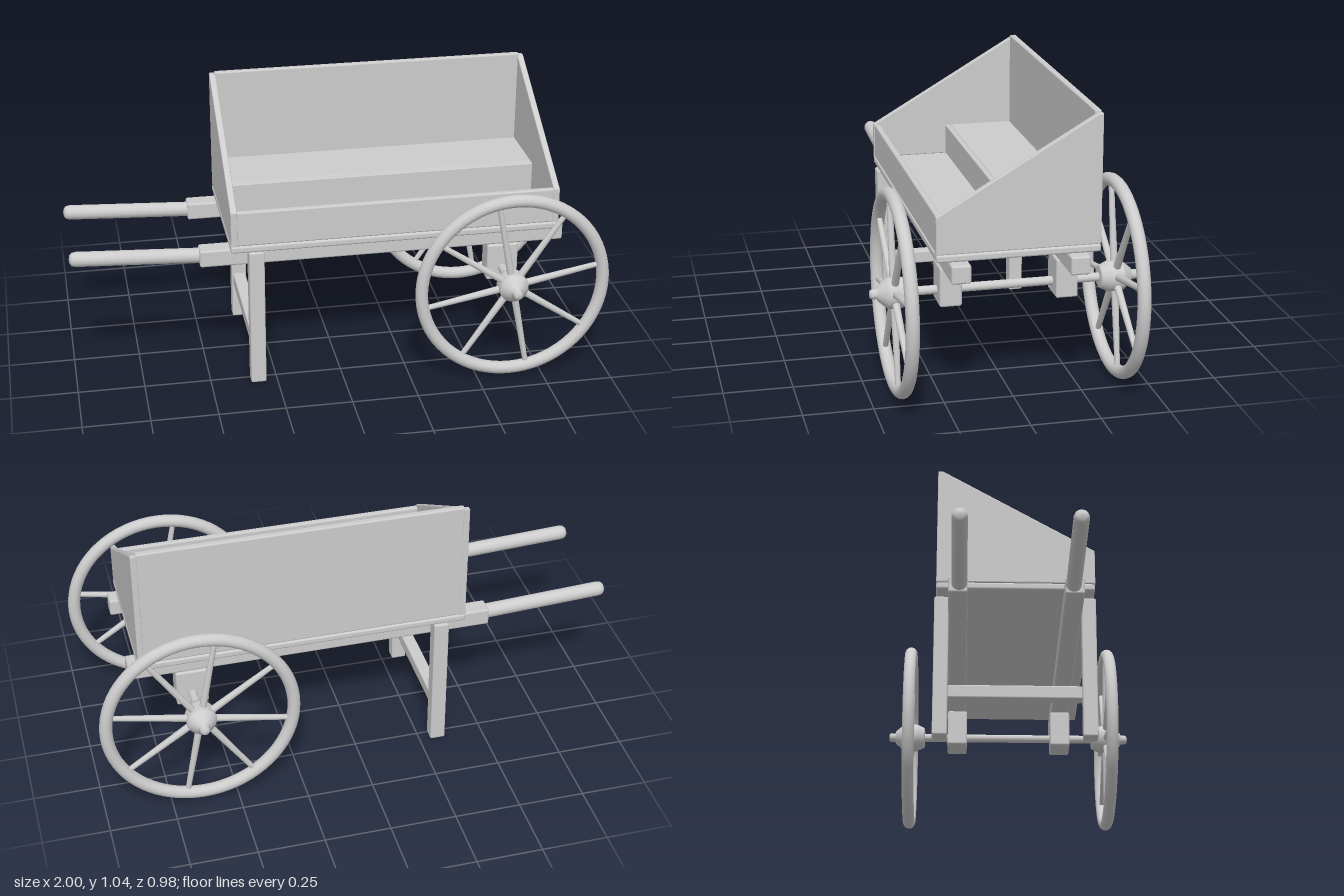
import * as THREE from 'three';
import { RoundedBoxGeometry } from 'three/addons/geometries/RoundedBoxGeometry.js';

export function createModel() {
  const cart = new THREE.Group();
  cart.name = 'handcart';
  const grey = new THREE.MeshStandardMaterial({ color: 0xcccccc });
  grey.name = 'plain grey';

  const add = (name, geometry, parent = cart) => {
    const mesh = new THREE.Mesh(geometry, grey);
    mesh.name = name;
    parent.add(mesh);
    return mesh;
  };

  // Softened timber given by its min and max corners
  const timber = (name, [x0, y0, z0], [x1, y1, z1], r = 0.006) => {
    const g = new RoundedBoxGeometry(x1 - x0, y1 - y0, z1 - z0, 2, r);
    g.translate((x0 + x1) / 2, (y0 + y1) / 2, (z0 + z1) / 2);
    return add(name, g);
  };

  const lathe = (points, segments = 24) =>
    new THREE.LatheGeometry(points.map(([r, y]) => new THREE.Vector2(r, y)), segments);

  // Tray
  timber('floor', [-0.415, 0.545, -0.29], [0.825, 0.572, 0.29], 0.008);
  timber('backPanel', [-0.395, 0.573, -0.288], [0.805, 1.045, -0.263]);
  timber('frontPanel', [-0.395, 0.573, 0.265], [0.805, 0.708, 0.288]);
  timber('shelf', [-0.395, 0.67, -0.27], [0.805, 0.69, -0.02], 0.004);
  timber('shelfFront', [-0.395, 0.573, -0.02], [0.805, 0.69, 0.0], 0.004);

  // Sloping end panels, drawn in z and y and extruded along x
  const bevel = 0.004;
  const end = new THREE.Shape([
    [0.291, 0.573], [0.291, 0.708], [-0.272, 1.037], [-0.29, 1.037], [-0.29, 0.573],
  ].map(([z, y]) => new THREE.Vector2(z, y)));
  for (const [name, x] of [['rightEnd', -0.402], ['leftEnd', 0.812]]) {
    const g = new THREE.ExtrudeGeometry(end, {
      depth: 0.016, bevelThickness: bevel, bevelSize: bevel, bevelOffset: -bevel, bevelSegments: 2,
    });
    g.translate(0, 0, -0.008);
    g.rotateY(-Math.PI / 2);
    add(name, g).position.x = x;
  }

  // Crossbar between the legs
  timber('legCrossbar', [-0.345, 0.145, -0.243], [-0.297, 0.195, 0.243]);

  // Axle
  const axle = new THREE.CylinderGeometry(0.016, 0.016, 0.96, 20);
  axle.rotateX(Math.PI / 2);
  add('axle', axle).position.set(0.625, 0.378, 0);

  const handleShape = lathe([
    [0, 0], [0.028, 0], [0.028, 0.47], [0.025, 0.484], [0.016, 0.492], [0, 0.495],
  ]);
  const hubShape = lathe([
    [0, -0.06], [0.038, -0.06], [0.042, -0.055], [0.053, -0.032], [0.056, -0.025],
    [0.056, 0.02], [0.053, 0.027], [0.026, 0.058], [0.018, 0.061],
    [0.018, 0.078], [0.013, 0.086], [0, 0.087],
  ], 28);

  for (const s of [1, -1]) {
    const side = s > 0 ? 'front' : 'back';
    const span = (name, x0, x1, y0, y1, za, zb, r) =>
      timber(side + name, [x0, y0, Math.min(s * za, s * zb)], [x1, y1, Math.max(s * za, s * zb)], r);

    // Supports under the tray
    span('Leg', -0.35, -0.292, 0, 0.545, 0.243, 0.297);
    span('Beam', -0.525, 0.858, 0.476, 0.543, 0.175, 0.245, 0.008);
    span('AxleBlock', 0.565, 0.685, 0.33, 0.476, 0.17, 0.25, 0.008);

    // Handle rising slightly toward its tip
    const handle = add(side + 'Handle', handleShape);
    handle.position.set(-0.507, 0.51, s * 0.205);
    handle.rotation.z = Math.PI / 2 - 0.05;

    // Wheel
    const wheel = new THREE.Group();
    wheel.name = side + 'Wheel';
    wheel.position.set(0.625, 0.378, s * 0.402);
    cart.add(wheel);
    add('rim', new THREE.TorusGeometry(0.348, 0.024, 14, 72), wheel);
    add('hub', hubShape, wheel).rotation.x = s * Math.PI / 2;
    for (let i = 0; i < 8; i++) {
      const spoke = new THREE.CylinderGeometry(0.01, 0.014, 0.3, 12, 1, true);
      spoke.translate(0, 0.19, 0);
      add('spoke', spoke, wheel).rotation.z = (i / 8) * Math.PI * 2 + 0.19 - Math.PI / 2;
    }
  }
  return cart;
}
